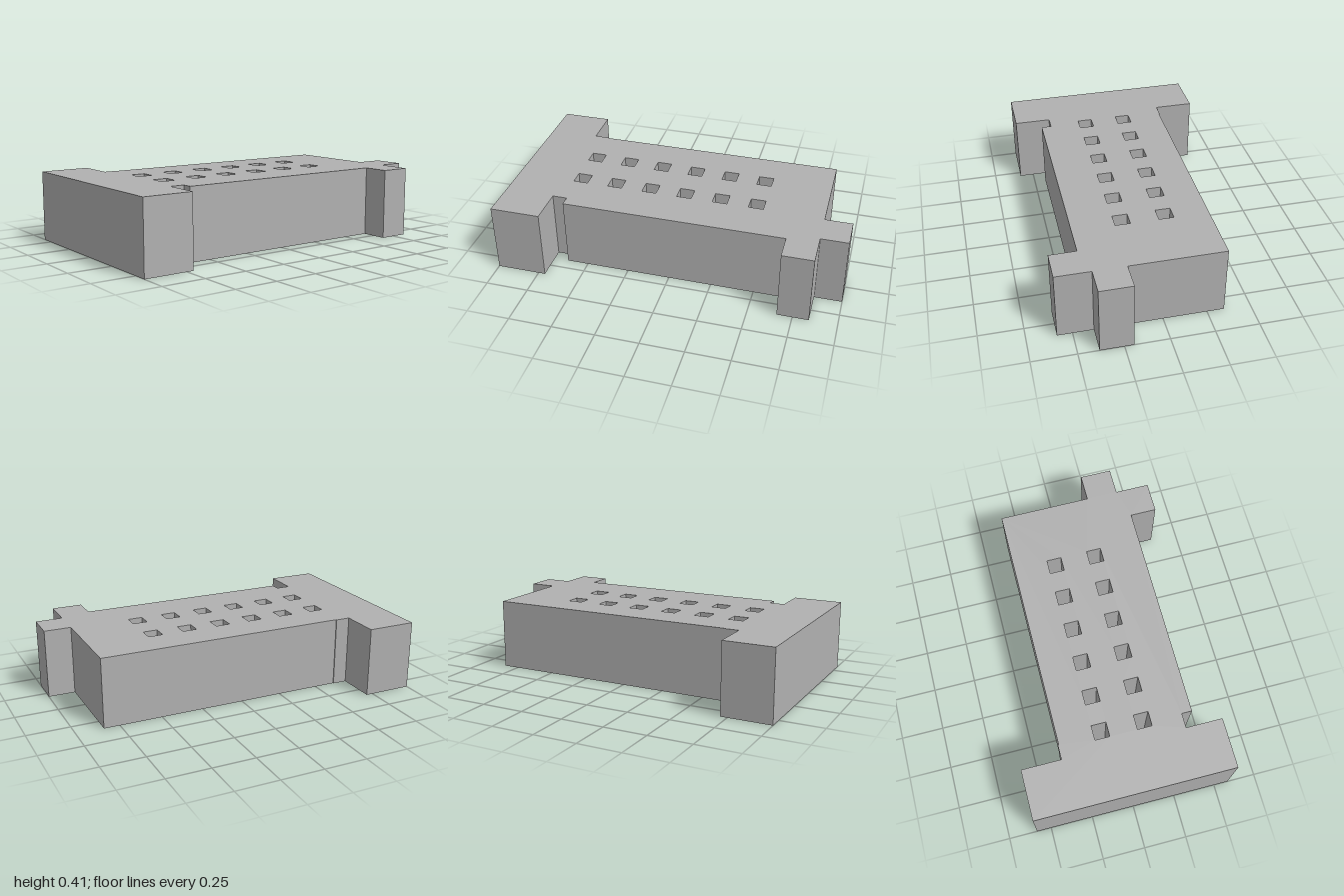
import * as THREE from 'three';

const HEIGHT = 0.41;

export function createModel() {
  const group = new THREE.Group();
  group.name = 'connectorBlock';
  const grey = new THREE.MeshStandardMaterial({ color: 0xb0b0b0 });
  grey.name = 'grey';

  // Plan outline as x, z pairs: end flange, notches, long body, corner foot and side tab
  const outline = [
    [-1, 0.585], [-0.71, 0.585], [-0.71, 0.37], [-0.625, 0.37], [-0.625, 0.43],
    [0.663, 0.43], [0.663, 0.585], [0.842, 0.585], [0.842, 0.384], [1, 0.384],
    [1, 0.197], [0.842, 0.197], [0.842, -0.348], [-0.625, -0.348],
    [-0.625, -0.353], [-0.71, -0.353], [-0.71, -0.585], [-1, -0.585],
  ];
  const toShape = ([x, z]) => new THREE.Vector2(x, -z);
  const shape = new THREE.Shape(outline.map(toShape));

  // Two rows of six square through holes
  const half = 0.043;
  for (const z of [-0.102, 0.145]) {
    for (let i = 0; i < 6; i++) {
      const x = -0.608 + i * 0.2114;
      shape.holes.push(new THREE.Path([
        [x - half, z - half], [x + half, z - half],
        [x + half, z + half], [x - half, z + half],
      ].map(toShape)));
    }
  }

  // Extrude the plan straight up
  const geometry = new THREE.ExtrudeGeometry(shape, { depth: HEIGHT, bevelEnabled: false });
  geometry.rotateX(-Math.PI / 2);
  const body = new THREE.Mesh(geometry, grey);
  body.name = 'perforatedBody';
  group.add(body);
  return group;
}
